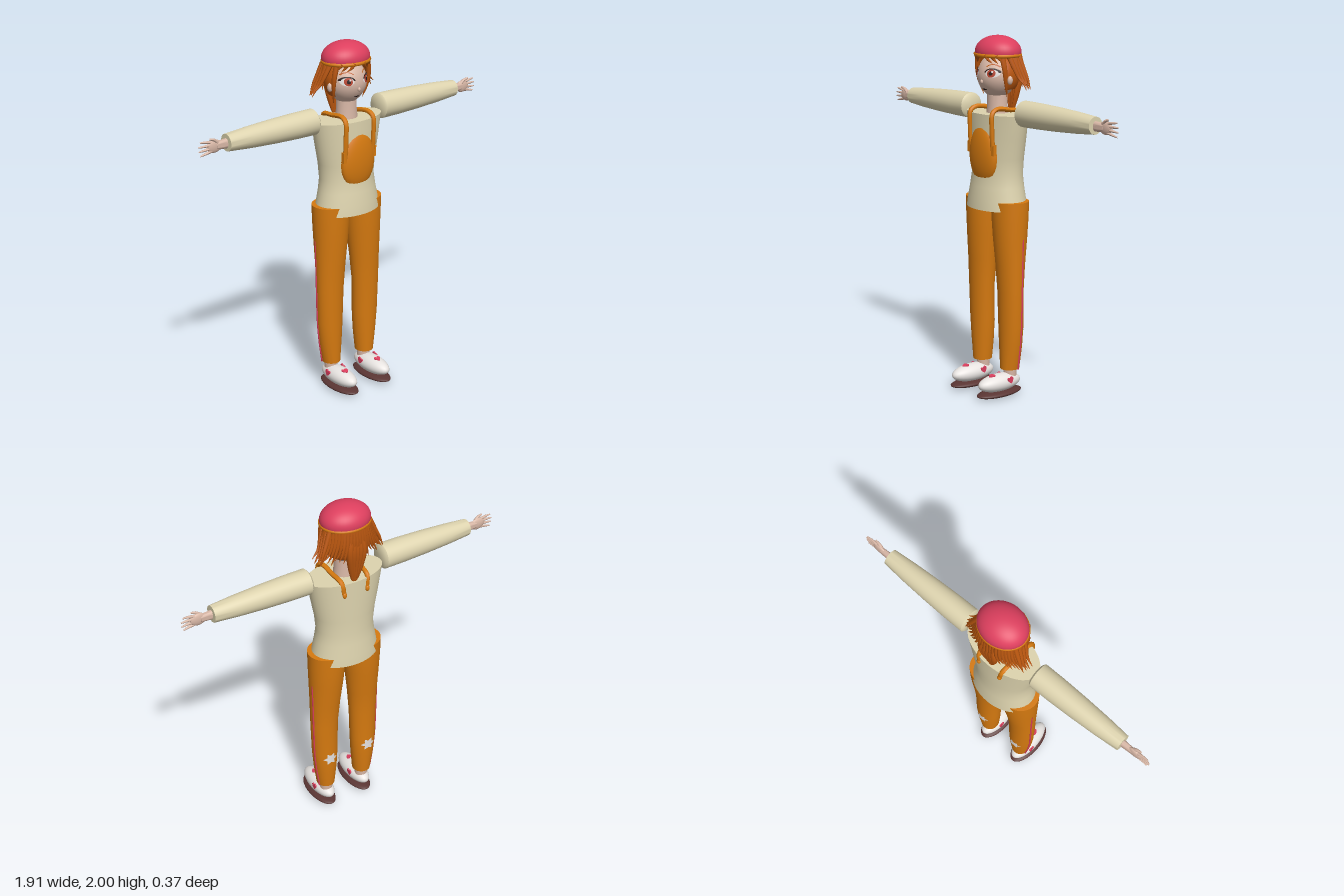
import * as THREE from 'three';
import { toCreasedNormals } from 'three/addons/utils/BufferGeometryUtils.js';

const mat = (name, color, side = THREE.FrontSide) => {
  const m = new THREE.MeshStandardMaterial({ color, side });
  m.name = name;
  return m;
};
const M = {
  cream: mat('cream cloth', 0xddd3ae),
  orange: mat('orange cloth', 0xd67a10),
  hair: mat('auburn hair', 0xb9560f, THREE.DoubleSide),
  skin: mat('skin', 0xd8b7a6),
  pink: mat('pink', 0xdd3f5e, THREE.DoubleSide),
  white: mat('white', 0xe9e5e2, THREE.DoubleSide),
  sole: mat('brown sole', 0x5a3533),
  dark: mat('dark line', 0x2b1a18, THREE.DoubleSide),
  iris: mat('iris red', 0xb8452f, THREE.DoubleSide),
};

function add(parent, name, geometry, material, pos = [0, 0, 0], scale = [1, 1, 1]) {
  const m = new THREE.Mesh(geometry, material);
  m.name = name;
  m.position.set(...pos);
  m.scale.set(...scale);
  parent.add(m);
  return m;
}
const ball = (parent, name, material, pos, r) =>
  add(parent, name, new THREE.SphereGeometry(1, 32, 20), material, pos, r);

// Closed skin over elliptical sections [y, cx, cz, rx, rz], listed upward
function loft(sections, n = 32) {
  const p = [], idx = [];
  for (const [y, cx, cz, rx, rz] of sections)
    for (let i = 0; i < n; i++) {
      const a = (i / n) * Math.PI * 2;
      p.push(cx + rx * Math.cos(a), y, cz + rz * Math.sin(a));
    }
  const last = (sections.length - 1) * n;
  for (let k = 0; k < last; k += n)
    for (let i = 0; i < n; i++) {
      const a = k + i, b = k + ((i + 1) % n);
      idx.push(a, a + n, b, b, a + n, b + n);
    }
  const bottom = p.length / 3, top = bottom + 1;
  for (const s of [sections[0], sections[sections.length - 1]]) p.push(s[1], s[0], s[2]);
  for (let i = 0; i < n; i++) {
    const j = (i + 1) % n;
    idx.push(bottom, i, j, top, last + j, last + i);
  }
  const g = new THREE.BufferGeometry();
  g.setAttribute('position', new THREE.Float32BufferAttribute(p, 3));
  g.setIndex(idx);
  return toCreasedNormals(g, 0.8);
}

// Tube along points whose radius follows radius(t)
function taperTube(points, radius, seg = 14, sides = 8) {
  const curve = new THREE.CatmullRomCurve3(points.map(p => new THREE.Vector3(...p)));
  const g = new THREE.TubeGeometry(curve, seg, 1, sides);
  const pos = g.attributes.position, v = new THREE.Vector3();
  for (let i = 0; i < pos.count; i++) {
    const t = Math.floor(i / (sides + 1)) / seg, c = curve.getPointAt(t);
    v.fromBufferAttribute(pos, i).sub(c).multiplyScalar(radius(t)).add(c);
    pos.setXYZ(i, v.x, v.y, v.z);
  }
  g.computeVertexNormals();
  return g;
}

// Head shape: an ellipsoid narrowing to the chin
const H = { y: 1.78, z: -0.045, rx: 0.112, ry: 0.125, rz: 0.11 };
const jaw = u => (u < 0 ? 1 - 0.22 * u * u : 1);
function faceZ(x, y) {
  const u = (y - H.y) / H.ry, f = jaw(u);
  return H.z + f * H.rz * Math.sqrt(Math.max(0, 1 - u * u - (x / (f * H.rx)) ** 2));
}
function onFace(parent, name, material, x, y, rx, ry, lift, ring = [0, 1, 0, Math.PI * 2]) {
  const g = new THREE.RingGeometry(ring[0], ring[1], 24, 4, ring[2], ring[3]);
  const p = g.attributes.position;
  for (let i = 0; i < p.count; i++) {
    const px = x + p.getX(i) * rx, py = y + p.getY(i) * ry;
    p.setXYZ(i, px, py, faceZ(px, py) + lift);
  }
  g.computeVertexNormals();
  add(parent, name, g, material);
}

function buildHead(root) {
  const g = new THREE.SphereGeometry(1, 40, 28), p = g.attributes.position;
  for (let i = 0; i < p.count; i++) {
    const u = p.getY(i), f = jaw(u);
    p.setXYZ(i, p.getX(i) * f * H.rx, u * H.ry, p.getZ(i) * f * H.rz);
  }
  g.computeVertexNormals();
  add(root, 'head', g, M.skin, [0, H.y, H.z]);
  add(root, 'neck', loft([[1.56, 0, -0.045, 0.065, 0.06], [1.62, 0, -0.045, 0.058, 0.055], [1.7, 0, -0.045, 0.056, 0.055]]), M.skin);
  ball(root, 'nose', M.skin, [0, 1.755, 0.062], [0.008, 0.012, 0.01]);
  onFace(root, 'mouth', M.dark, 0, 1.712, 0.018, 0.004, 0.003);
  for (const s of [-1, 1]) {
    onFace(root, 'eyeWhite', M.white, s * 0.062, 1.802, 0.033, 0.023, 0.002);
    onFace(root, 'iris', M.iris, s * 0.06, 1.802, 0.02, 0.022, 0.004);
    onFace(root, 'pupil', M.dark, s * 0.06, 1.802, 0.009, 0.011, 0.006);
    onFace(root, 'eyeGlint', M.white, s * 0.06 + 0.007, 1.811, 0.005, 0.005, 0.007);
    onFace(root, 'lash', M.dark, s * 0.063, 1.802, 0.035, 0.026, 0.007, [0.84, 1.08, 0.2, Math.PI - 0.4]);
    onFace(root, 'brow', M.hair, s * 0.058, 1.82, 0.036, 0.03, 0.004, [0.9, 1.05, 0.6, Math.PI - 1.2]);
    ball(root, 'ear', M.skin, [s * 0.12, 1.765, -0.035], [0.014, 0.024, 0.016]);
  }
}

function buildHair(root) {
  // Cap of hair over the back and sides
  add(root, 'hairCap', new THREE.SphereGeometry(1, 32, 20, Math.PI - 0.35, Math.PI + 0.7, 0, Math.PI * 0.7),
    M.hair, [0, 1.785, -0.05], [0.122, 0.125, 0.112]);
  // Flared strands around the back
  for (let i = 0; i < 25; i++) {
    const a = (i / 24 - 0.5) * 3.0, sx = Math.sin(a), c = Math.cos(a);
    const tip = 1.715 + (i % 3) * 0.014;
    add(root, 'backStrand', taperTube([
      [0.125 * sx, 1.89, -0.055 - 0.105 * c],
      [0.145 * sx, 1.82, -0.065 - 0.105 * c],
      [0.172 * sx, 1.765, -0.07 - 0.1 * c],
      [0.205 * sx, tip, -0.075 - 0.09 * c]], t => 0.012 * (1 - t * t) + 0.001, 10, 6), M.hair);
  }
  for (const s of [-1, 1]) {
    // Swept side locks and face-framing locks
    for (let k = 0; k < 4; k++)
      add(root, 'sideLock', taperTube([[s * 0.12, 1.89, -0.03 - k * 0.022], [s * 0.145, 1.83, -0.045 - k * 0.02],
        [s * 0.17, 1.775, -0.06 - k * 0.018], [s * (0.21 - k * 0.006), 1.74 - k * 0.008, -0.07 - k * 0.016]],
        t => 0.013 * (1 - t * t) + 0.001), M.hair);
    add(root, 'frontLock', taperTube([[s * 0.105, 1.89, 0.005], [s * 0.118, 1.82, 0.0], [s * 0.115, 1.75, -0.01], [s * 0.1, 1.675, -0.03]],
      t => 0.014 * (1 - t * t) + 0.001), M.hair);
    for (let k = 0; k < 3; k++)
      add(root, 'fringe', taperTube([[s * (0.03 + k * 0.03), 1.9, 0.06 - k * 0.013], [s * (0.045 + k * 0.03), 1.875, 0.055 - k * 0.018],
        [s * (0.065 + k * 0.024), 1.855, 0.04 - k * 0.017]], t => 0.012 * (1 - t) + 0.001), M.hair);
  }
  // Ponytail of several twisted strands
  for (let k = 0; k < 5; k++) {
    const o = (k - 2) * 0.012;
    add(root, 'ponytail', taperTube([[o, 1.87, -0.155], [o * 1.7, 1.78, -0.165], [o * 1.3, 1.68, -0.155], [o * 0.6, 1.565 + Math.abs(o), -0.145]],
      t => 0.006 + 0.013 * Math.sin(Math.PI * Math.min(1, t * 0.85 + 0.12))), M.hair);
  }
}

function buildHat(root) {
  add(root, 'hatDome', new THREE.SphereGeometry(1, 40, 16, 0, Math.PI * 2, 0, Math.PI * 0.56), M.pink,
    [0, 1.912, -0.05], [0.14, 0.088, 0.117]);
  const band = new THREE.TorusGeometry(0.134, 0.01, 10, 48).rotateX(Math.PI / 2);
  add(root, 'hatBand', band, M.orange, [0, 1.895, -0.048], [1, 1, 0.85]);
}

function buildTorso(root) {
  add(root, 'shirt', loft([
    [1.055, 0, -0.042, 0.2, 0.142], [1.11, 0, -0.042, 0.19, 0.138], [1.18, 0, -0.043, 0.176, 0.128],
    [1.25, 0, -0.045, 0.167, 0.12], [1.34, 0, -0.045, 0.177, 0.121], [1.45, 0, -0.045, 0.2, 0.121], [1.58, 0, -0.045, 0.224, 0.12]], 40), M.cream);
  add(root, 'frontPouch', loft(Array.from({ length: 17 }, (_, i) => {
    const a = -Math.PI / 2 + (i / 16) * Math.PI, w = Math.cos(a) + 0.002;
    return [1.365 + 0.168 * Math.sin(a), 0, 0.05, (0.112 - 0.012 * Math.sin(a)) * w, 0.045 * w];
  })), M.orange);
}

const LEG = [[0.15, 0.122, -0.037, 0.052, 0.055], [0.28, 0.125, -0.04, 0.068, 0.062], [0.4, 0.127, -0.04, 0.077, 0.065],
  [0.6, 0.127, -0.036, 0.082, 0.066], [0.75, 0.122, -0.038, 0.089, 0.077], [0.9, 0.116, -0.041, 0.099, 0.092],
  [1.02, 0.113, -0.043, 0.106, 0.1], [1.105, 0.111, -0.043, 0.109, 0.103]];

function heart() {
  const s = new THREE.Shape();
  s.moveTo(0, -0.02);
  s.bezierCurveTo(0.035, 0.005, 0.012, 0.03, 0, 0.01);
  s.bezierCurveTo(-0.012, 0.03, -0.035, 0.005, 0, -0.02);
  return new THREE.ExtrudeGeometry(s, { depth: 0.008, bevelEnabled: false }).translate(0, 0, -0.004);
}

// One side of the body at +x
function buildSide() {
  const g = new THREE.Group();
  const along = s => loft(s.map(([x, r]) => [x, 0, 0, r, r])).rotateZ(-Math.PI / 2);
  add(g, 'sleeve', along([[0.222, 0.06], [0.232, 0.071], [0.35, 0.07], [0.5, 0.065], [0.65, 0.057], [0.785, 0.046]]), M.cream, [0, 1.595, -0.045]);
  add(g, 'wrist', along([[0.77, 0.028], [0.81, 0.025], [0.85, 0.022]]), M.skin, [0, 1.592, -0.045], [1, 1, 0.7]);
  ball(g, 'palm', M.skin, [0.86, 1.592, -0.045], [0.045, 0.035, 0.014]);
  for (let k = 0; k < 4; k++) {
    const d = k - 1.5, end = 0.96 - Math.abs(d) * 0.01;
    add(g, 'finger', taperTube([[0.865, 1.592 + d * 0.014, -0.045], [0.91, 1.592 + d * 0.02, -0.043], [end, 1.59 + d * 0.024, -0.045]],
      t => 0.0085 * (1 - 0.6 * t * t)), M.skin);
  }
  add(g, 'thumb', taperTube([[0.84, 1.605, -0.043], [0.865, 1.628, -0.038], [0.895, 1.637, -0.035]], t => 0.01 * (1 - 0.6 * t * t)), M.skin);

  // Strap over the shoulder, with a tab at its lower end
  add(g, 'strap', taperTube([[0.095, 1.37, 0.062], [0.095, 1.5, 0.07], [0.094, 1.59, 0.066], [0.09, 1.61, 0.03],
    [0.085, 1.6, -0.06], [0.078, 1.585, -0.145], [0.07, 1.52, -0.155]], () => 0.013, 36), M.orange);
  add(g, 'strapTab', new THREE.BoxGeometry(0.045, 0.06, 0.025), M.orange, [0.09, 1.392, 0.062]);
  ball(g, 'strapEnd', M.orange, [0.07, 1.515, -0.163], [0.012, 0.018, 0.009]);

  add(g, 'trouserLeg', loft(LEG), M.orange);
  add(g, 'sideStripe', taperTube(LEG.slice(0, 6).map(s => [s[1] + s[3] * 0.97, s[0], -0.055]), () => 0.005, 30, 6), M.pink);
  // Jagged patch curved round the back of the calf
  const patch = new THREE.RingGeometry(0.001, 1, 24, 3), p = patch.attributes.position;
  for (let i = 0; i < p.count; i++) {
    const k = i % 25, j = k % 4 === 0 ? 1 : k % 2 ? 0.72 : 0.55;
    const x = p.getX(i) * j * 0.045, y = 0.37 + p.getY(i) * j * 0.043;
    p.setXYZ(i, 0.126 + x, y, -0.044 - 0.065 * Math.sqrt(1 - (x / 0.076) ** 2));
  }
  patch.computeVertexNormals();
  add(g, 'calfPatch', patch, M.white);

  add(g, 'ankle', new THREE.CylinderGeometry(0.038, 0.036, 0.08, 24), M.skin, [0.12, 0.13, -0.04]);
  ball(g, 'shoe', M.white, [0.12, 0.08, 0.037], [0.06, 0.05, 0.143]);
  ball(g, 'shoeSole', M.sole, [0.12, 0.022, 0.038], [0.068, 0.021, 0.15]);
  add(g, 'topHeart', heart(), M.pink, [0.12, 0.126, 0.09]).rotation.x = -Math.PI / 2 + 0.15;
  for (const s of [-1, 1])
    add(g, 'sideHeart', heart(), M.pink, [0.12 + s * 0.055, 0.098, 0.0]).rotation.set(0, s * Math.PI / 2, s * 0.3);
  return g;
}

export function createModel() {
  const root = new THREE.Group();
  root.name = 'figure';
  buildHead(root);
  buildHair(root);
  buildHat(root);
  buildTorso(root);
  const left = buildSide(), right = buildSide();
  left.name = 'leftSide';
  right.name = 'rightSide';
  right.scale.x = -1;
  root.add(left, right);
  return root;
}
